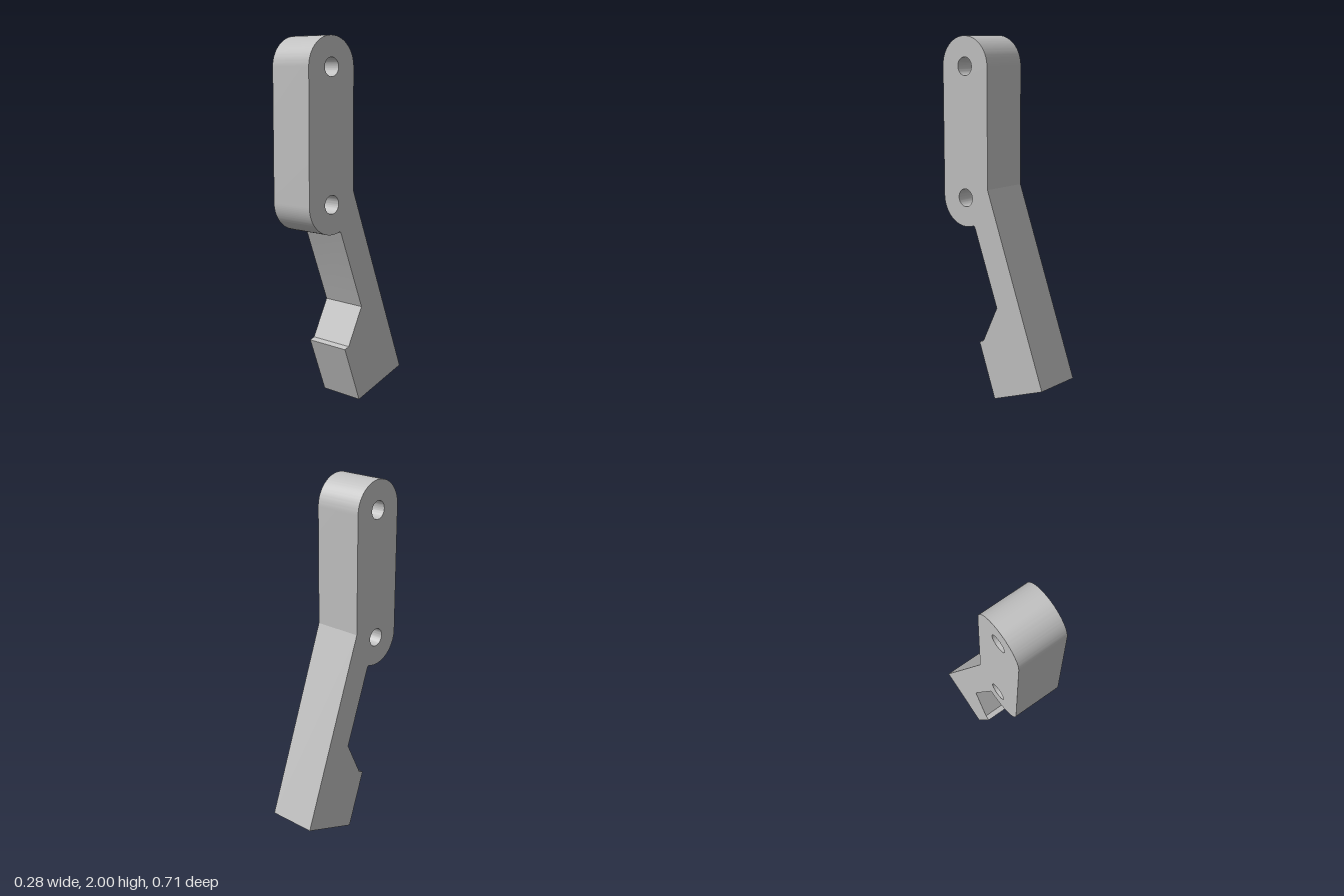
import * as THREE from 'three';
import { toCreasedNormals } from 'three/addons/utils/BufferGeometryUtils.js';

const WIDTH = 0.278;
const PIVOT_Z = 0.193, TOP_Y = 1.838, LOW_Y = 1.12;
const RADIUS = 0.162, HOLE_RADIUS = 0.05;

// Side profile, drawn with z along the shape's x axis
function leverProfile() {
  const shape = new THREE.Shape();
  // Rounded mounting plate
  shape.moveTo(PIVOT_Z - RADIUS, 1.18);
  shape.lineTo(PIVOT_Z - RADIUS, TOP_Y);
  shape.absarc(PIVOT_Z, TOP_Y, RADIUS, Math.PI, 0, true);
  shape.lineTo(PIVOT_Z + RADIUS, LOW_Y);
  shape.absarc(PIVOT_Z, LOW_Y, RADIUS, 0, -Math.PI / 2 - 0.33, true);
  // Small blend into the slanted arm
  shape.quadraticCurveTo(0.13, 0.972, 0.124, 0.957);
  // Front of arm, notch and foot
  shape.lineTo(-0.034, 0.53);
  shape.lineTo(0.066, 0.322);
  shape.lineTo(0.095, 0.31);
  shape.lineTo(-0.017, 0);
  shape.lineTo(-0.354, 0.125);
  shape.closePath();

  // Two pin holes
  for (const y of [TOP_Y, LOW_Y]) {
    const hole = new THREE.Path();
    hole.absarc(PIVOT_Z, y, HOLE_RADIUS, 0, Math.PI * 2, false);
    shape.holes.push(hole);
  }
  return shape;
}

export function createModel() {
  const grey = new THREE.MeshStandardMaterial({ color: 0xc0c0c0 });
  grey.name = 'light grey';

  // Extrude across the width, then turn the profile to face sideways
  const solid = new THREE.ExtrudeGeometry(leverProfile(), {
    depth: WIDTH, bevelEnabled: false, curveSegments: 32,
  });
  solid.translate(0, 0, -WIDTH / 2);
  solid.rotateY(-Math.PI / 2);

  const lever = new THREE.Mesh(toCreasedNormals(solid, 0.3), grey);
  lever.name = 'leverArm';

  const model = new THREE.Group();
  model.name = 'lever';
  model.add(lever);
  return model;
}
